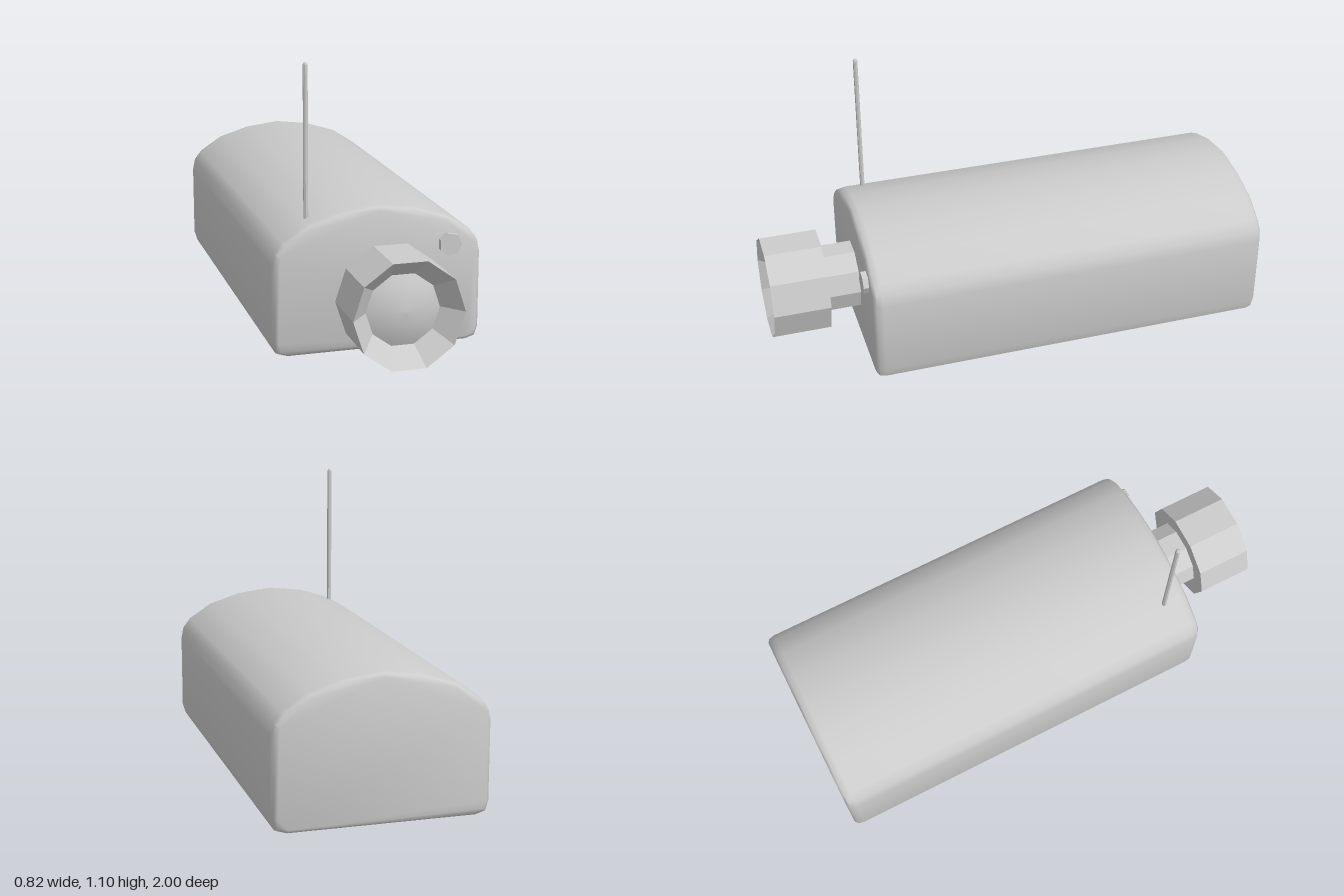
import * as THREE from 'three';
import { toCreasedNormals } from 'three/addons/utils/BufferGeometryUtils.js';

const smooth = () => new THREE.MeshStandardMaterial({ color: 0xcccccc });
const flat = () => new THREE.MeshStandardMaterial({ color: 0xcccccc, flatShading: true });

// Faceted solid of revolution whose axis points along +z; points are [radius, z]
function latheZ(points, sides) {
  const g = new THREE.LatheGeometry(points.map(([r, z]) => new THREE.Vector2(r, z)), sides, Math.PI / 2);
  return g.rotateX(Math.PI / 2);
}

export function createModel() {
  const model = new THREE.Group();
  const add = (name, geometry, material, x = 0, y = 0, z = 0) => {
    const mesh = new THREE.Mesh(geometry, material);
    mesh.name = name;
    mesh.position.set(x, y, z);
    model.add(mesh);
  };

  // Body: arched section, mirrored about x = 0, with bevelled ends
  const half = [[0.352, 0.02], [0.381, 0.029], [0.39, 0.058], [0.39, 0.355],
    [0.382, 0.395], [0.355, 0.43], [0.265, 0.489], [0.137, 0.529]];
  const outline = [...half, [0, 0.546], ...half.map(([x, y]) => [-x, y]).reverse()];
  const shape = new THREE.Shape(outline.map(([x, y]) => new THREE.Vector2(x, y)));
  const bevel = 0.035;
  const body = new THREE.ExtrudeGeometry(shape, {
    depth: 1.635 - 2 * bevel, bevelThickness: bevel, bevelSize: 0.019, bevelSegments: 2,
  });
  body.translate(0, 0, -1 + bevel);
  add('body', toCreasedNormals(body, 0.75), smooth());

  // Lens barrel: narrow neck, wide hood and a conical recess
  add('lensBarrel', latheZ([[0, 0.61], [0.14, 0.61], [0.14, 0.77], [0.21, 0.77],
    [0.21, 1], [0.14, 0.92]], 10), flat(), 0, 0.255, 0);

  // Shallow convex glass
  add('lensGlass', latheZ([[0.14, 0.92], [0.1, 0.938], [0.05, 0.951], [0, 0.955]], 10),
    smooth(), 0, 0.255, 0);

  // Small button on the front face
  add('button', latheZ([[0, 0.61], [0.045, 0.61], [0.045, 0.657], [0, 0.657]], 7),
    flat(), 0.277, 0.4, 0);

  // Antenna rod with a blunt tip
  const rod = new THREE.LatheGeometry([[0, 0.45], [0.0095, 0.45], [0.0095, 1.093], [0.005, 1.1], [0, 1.1]]
    .map(([r, y]) => new THREE.Vector2(r, y)), 7, Math.PI / 2);
  add('antenna', rod, flat(), -0.256, 0, 0.53);

  return model;
}
